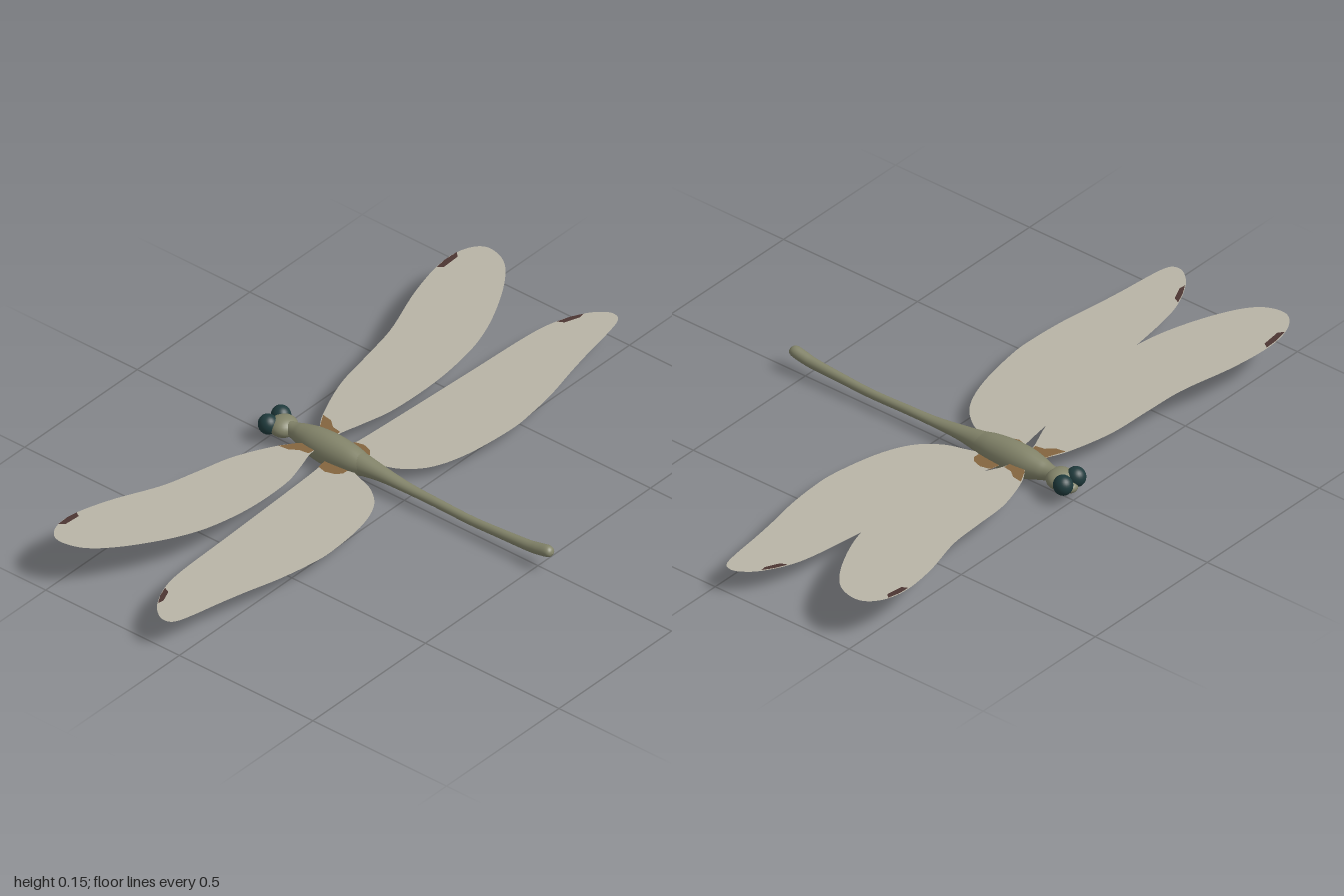
import * as THREE from 'three';

const mat = (name, color, side = THREE.FrontSide) => {
  const m = new THREE.MeshStandardMaterial({ color, side });
  m.name = name;
  return m;
};

export function createModel() {
  const model = new THREE.Group();
  model.name = 'dragonfly';
  const olive = mat('olive body', 0x83846a);
  const eyeMat = mat('dark teal eyes', 0x1f3a3c);
  const membrane = mat('pale wing membrane', 0xb8b4a6, THREE.DoubleSide);
  const amber = mat('amber wing root', 0x84653f, THREE.DoubleSide);
  const brown = mat('dark brown wing spot', 0x4c3532, THREE.DoubleSide);

  const add = (name, geometry, material, parent = model) => {
    const mesh = new THREE.Mesh(geometry, material);
    mesh.name = name;
    parent.add(mesh);
    return mesh;
  };

  // Smooth tube along z through elliptical sections [z, centre y, half width, half height]
  const loft = (sections, steps, sides = 24) => {
    const curve = f => new THREE.CatmullRomCurve3(
      sections.map(s => new THREE.Vector3(f(s), s[1], s[0])), false, 'catmullrom', 0.5);
    const wide = curve(s => s[2]), high = curve(s => s[3]);
    const g = new THREE.CylinderGeometry(1, 1, 1, sides, steps, true);
    const p = g.attributes.position;
    for (let i = 0; i < p.count; i++) {
      const t = 0.5 - p.getY(i);
      const w = wide.getPoint(t), h = high.getPoint(t).x;
      p.setXYZ(i, p.getX(i) * Math.max(w.x, 0), w.y - p.getZ(i) * Math.max(h, 0), w.z);
    }
    g.computeVertexNormals();
    return g;
  };

  // Abdomen: long, thin, slightly upturned at the tip
  add('abdomen', loft([
    [0.556, 0.068, 0.0005, 0.0005], [0.55, 0.069, 0.013, 0.012], [0.535, 0.069, 0.018, 0.018],
    [0.50, 0.062, 0.018, 0.018], [0.46, 0.056, 0.016, 0.017], [0.36, 0.050, 0.014, 0.015],
    [0.25, 0.045, 0.013, 0.014], [0.12, 0.048, 0.014, 0.014], [0.02, 0.050, 0.017, 0.015],
    [-0.08, 0.055, 0.024, 0.022], [-0.16, 0.055, 0.033, 0.034], [-0.20, 0.054, 0.036, 0.040],
  ], 66), olive);

  // Thorax narrowing to the neck
  add('thorax', loft([
    [-0.10, 0.056, 0.020, 0.020], [-0.15, 0.054, 0.032, 0.032], [-0.20, 0.053, 0.042, 0.045],
    [-0.27, 0.053, 0.047, 0.052], [-0.33, 0.055, 0.044, 0.047], [-0.38, 0.058, 0.033, 0.034],
    [-0.41, 0.058, 0.024, 0.026], [-0.45, 0.058, 0.018, 0.022],
  ], 42), olive);

  // Head, face and two large eyes
  const ball = (name, material, pos, scale) => {
    const m = add(name, new THREE.SphereGeometry(1, 24, 16), material);
    m.position.set(...pos);
    m.scale.set(...scale);
  };
  ball('head', olive, [0, 0.056, -0.452], [0.044, 0.031, 0.042]);
  ball('face', olive, [0, 0.043, -0.485], [0.026, 0.019, 0.026]);
  for (const s of [1, -1])
    ball(s > 0 ? 'leftEye' : 'rightEye', eyeMat, [s * 0.029, 0.062, -0.486], [0.029, 0.031, 0.030]);

  // Flat plate with an outline in x and z, raised along the slope of its wing
  const plate = (pts, s, base, rise, smooth) => {
    const v = pts.map(q => new THREE.Vector2(...q));
    const shape = new THREE.Shape(smooth ? new THREE.SplineCurve(v).getPoints(v.length * 5) : v);
    const g = new THREE.ShapeGeometry(shape);
    const p = g.attributes.position;
    for (let i = 0; i < p.count; i++) {
      const x = p.getX(i);
      p.setXYZ(i, s * x, base + rise * x, p.getY(i));
    }
    g.computeVertexNormals();
    return g;
  };

  const wings = {
    Forewing: {
      base: 0.058, rise: [0.09, 0.101],
      outline: [[0.02, -0.335], [0.05, -0.36], [0.11, -0.395], [0.24, -0.44], [0.38, -0.46],
        [0.51, -0.48], [0.67, -0.53], [0.80, -0.555], [0.885, -0.55], [0.94, -0.52],
        [0.955, -0.475], [0.93, -0.41], [0.86, -0.35], [0.75, -0.29], [0.645, -0.25],
        [0.54, -0.23], [0.40, -0.224], [0.24, -0.24], [0.14, -0.27], [0.07, -0.295], [0.02, -0.30]],
      root: [[0.02, -0.335], [0.05, -0.36], [0.10, -0.388], [0.095, -0.355], [0.075, -0.33],
        [0.07, -0.30], [0.02, -0.30]],
      spot: [[0.80, -0.553], [0.84, -0.555], [0.885, -0.549], [0.87, -0.534], [0.81, -0.536]],
    },
    Hindwing: {
      base: 0.04, rise: [0.045, 0.059],
      outline: [[0.02, -0.265], [0.10, -0.25], [0.30, -0.23], [0.55, -0.207], [0.77, -0.187],
        [0.87, -0.165], [0.95, -0.125], [0.99, -0.085], [1.0, -0.055], [0.985, -0.03],
        [0.93, -0.015], [0.82, 0.002], [0.72, 0.02], [0.61, 0.043], [0.50, 0.057], [0.40, 0.06],
        [0.24, 0.037], [0.13, -0.005], [0.067, -0.07], [0.04, -0.14], [0.02, -0.19]],
      root: [[0.02, -0.265], [0.08, -0.254], [0.088, -0.225], [0.078, -0.195], [0.06, -0.18],
        [0.035, -0.18], [0.02, -0.19]],
      spot: [[0.87, -0.163], [0.91, -0.147], [0.945, -0.126], [0.925, -0.123], [0.88, -0.142]],
    },
  };

  // Four wings, each with painted root and edge spot on both faces
  for (const [kind, w] of Object.entries(wings)) {
    [1, -1].forEach((s, k) => {
      const wing = new THREE.Group();
      wing.name = (s > 0 ? 'left' : 'right') + kind;
      model.add(wing);
      add('membrane', plate(w.outline, s, w.base, w.rise[k], true), membrane, wing);
      for (const d of [0.0015, -0.0015]) {
        add('rootPatch', plate(w.root, s, w.base + d, w.rise[k], false), amber, wing);
        add('edgeSpot', plate(w.spot, s, w.base + d, w.rise[k], false), brown, wing);
      }
    });
  }
  return model;
}
